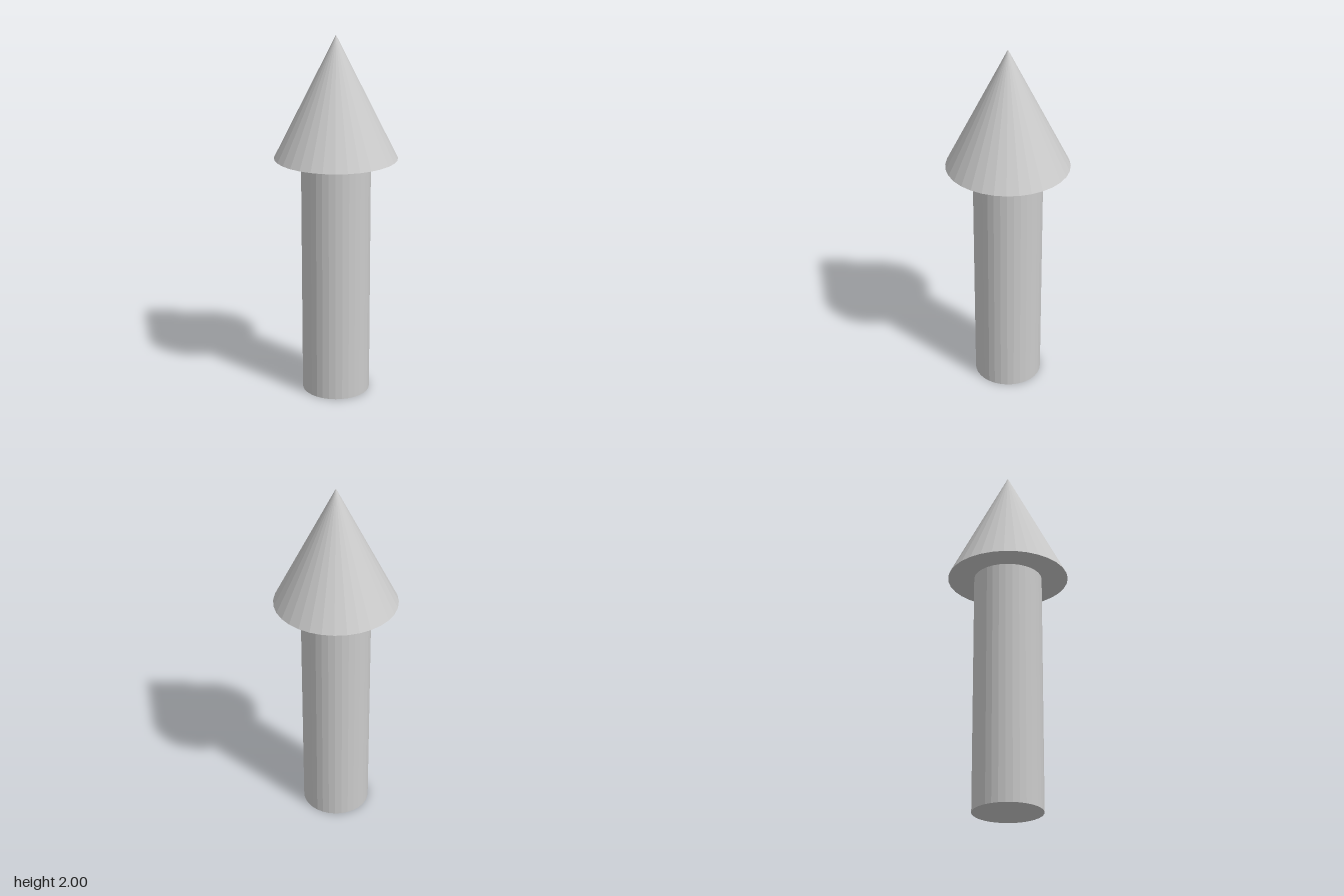
import * as THREE from 'three';

const SIDES = 32;
const HEIGHT = 2;
const HEAD_BASE = 1.34;
const HEAD_RADIUS = 0.333;
const SHAFT_RADIUS = 0.188;

export function createModel() {
  const group = new THREE.Group();
  group.name = 'arrow';
  const material = new THREE.MeshStandardMaterial({ color: 0xcccccc, flatShading: true });

  const add = (name, geometry, y) => {
    const mesh = new THREE.Mesh(geometry, material);
    mesh.name = name;
    mesh.position.y = y;
    group.add(mesh);
  };

  // Straight round shaft standing on the ground
  add('shaft', new THREE.CylinderGeometry(SHAFT_RADIUS, SHAFT_RADIUS, HEAD_BASE, SIDES), HEAD_BASE / 2);

  // Wider pointed head, closed underneath
  const headHeight = HEIGHT - HEAD_BASE;
  add('head', new THREE.ConeGeometry(HEAD_RADIUS, headHeight, SIDES), HEAD_BASE + headHeight / 2);

  return group;
}
